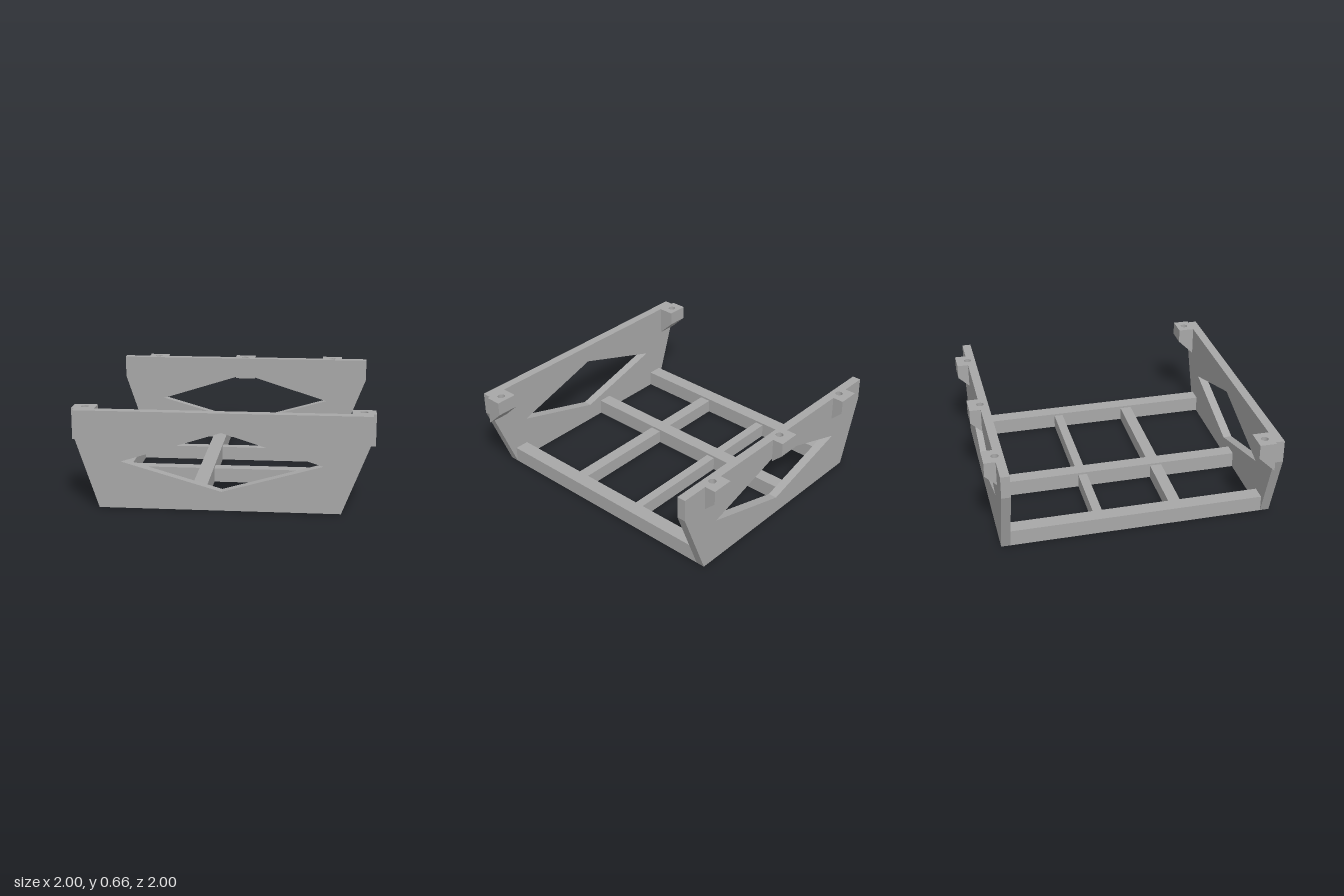
import * as THREE from 'three';

const steel = new THREE.MeshStandardMaterial({ color: 0xa8a8a8 });
steel.name = 'plain grey';

const TOP = 0.66, SHELF = 0.56; // lug top, and floor of the blind holes

function add(group, name, geometry) {
  const mesh = new THREE.Mesh(geometry, steel);
  mesh.name = name;
  group.add(mesh);
}

function bar(group, name, x0, x1, y0, y1, z0, z1) {
  const g = new THREE.BoxGeometry(x1 - x0, y1 - y0, z1 - z0);
  g.translate((x0 + x1) / 2, (y0 + y1) / 2, (z0 + z1) / 2);
  add(group, name, g);
}

const shapeOf = (pts) => new THREE.Shape(pts.map(([x, y]) => new THREE.Vector2(x, y)));

// End panel with a diamond opening and optional notches in its top edge for the lugs
function panel(group, name, z0, z1, notches = []) {
  const pts = [[-0.815, 0], [0.785, 0], [0.98, 0.5], [0.98, TOP]];
  for (const [a, b] of notches) pts.push([b, TOP], [b, SHELF], [a, SHELF], [a, TOP]);
  pts.push([-0.98, TOP], [-0.98, 0.5]);
  const shape = shapeOf(pts);
  shape.holes.push(shapeOf([[-0.665, 0.32], [0, 0.53], [0.665, 0.32], [0, 0.13]]));
  const g = new THREE.ExtrudeGeometry(shape, { depth: z1 - z0, bevelEnabled: false });
  g.translate(0, 0, z0);
  add(group, name, g);
}

// Drilled block on top of a sloping wedge that runs back to the panel face
function lug(group, name, x0, x1, z0, z1, holeX, holeZ, wedge) {
  const lugGroup = new THREE.Group();
  lugGroup.name = name;
  const top = shapeOf([[x0, -z1], [x1, -z1], [x1, -z0], [x0, -z0]]);
  const hole = new THREE.Path();
  hole.absarc(holeX, -holeZ, 0.026, 0, Math.PI * 2, true);
  top.holes.push(hole);
  const block = new THREE.ExtrudeGeometry(top, { depth: TOP - SHELF, bevelEnabled: false, curveSegments: 24 });
  block.rotateX(-Math.PI / 2);
  block.translate(0, SHELF, 0);
  add(lugGroup, name + 'Block', block);

  // Wedge outline is drawn in (-z, y) and swept along x
  const side = shapeOf([[-wedge.tip, SHELF], [-wedge.face, SHELF], [-wedge.face, wedge.low]]);
  const g = new THREE.ExtrudeGeometry(side, { depth: x1 - x0, bevelEnabled: false });
  g.rotateY(Math.PI / 2);
  g.translate(x0, 0, 0);
  add(lugGroup, name + 'Wedge', g);
  group.add(lugGroup);
}

export function createModel() {
  const model = new THREE.Group();
  model.name = 'cradleFrame';

  // End panels
  const backLugs = [[0.63, 0.785], [-0.08, 0.077], [-0.79, -0.635]];
  panel(model, 'frontPanel', 0.936, 1);
  panel(model, 'backPanel', -0.92, -0.857, backLugs);

  // Lengthwise rails
  for (const [name, a, b] of [['rightRail', -0.815, -0.71], ['middleRail', -0.215, -0.115], ['leftRail', 0.68, 0.785]])
    bar(model, name, a, b, 0, 0.115, -0.857, 0.936);

  // Crossbars, in two pieces either side of the middle rail
  for (const [name, z0, z1] of [['backCrossbar', -0.255, -0.19], ['frontCrossbar', 0.29, 0.375]])
    for (const [x0, x1] of [[-0.71, -0.215], [-0.115, 0.68]])
      bar(model, name, x0, x1, 0, 0.1, z0, z1);

  // Lugs inside the front panel and outside the back panel
  for (const s of [-1, 1]) {
    const x0 = s < 0 ? -1 : 0.845;
    lug(model, s < 0 ? 'frontRightLug' : 'frontLeftLug', x0, x0 + 0.155, 0.82, 0.936, s * 0.92, 0.88,
      { tip: 0.82, face: 0.936, low: 0.447 });
  }
  for (const [a, b] of backLugs)
    lug(model, 'backLug', a, b, -1, -0.857, (a + b) / 2, -0.915, { tip: -1, face: -0.92, low: 0.483 });

  return model;
}
